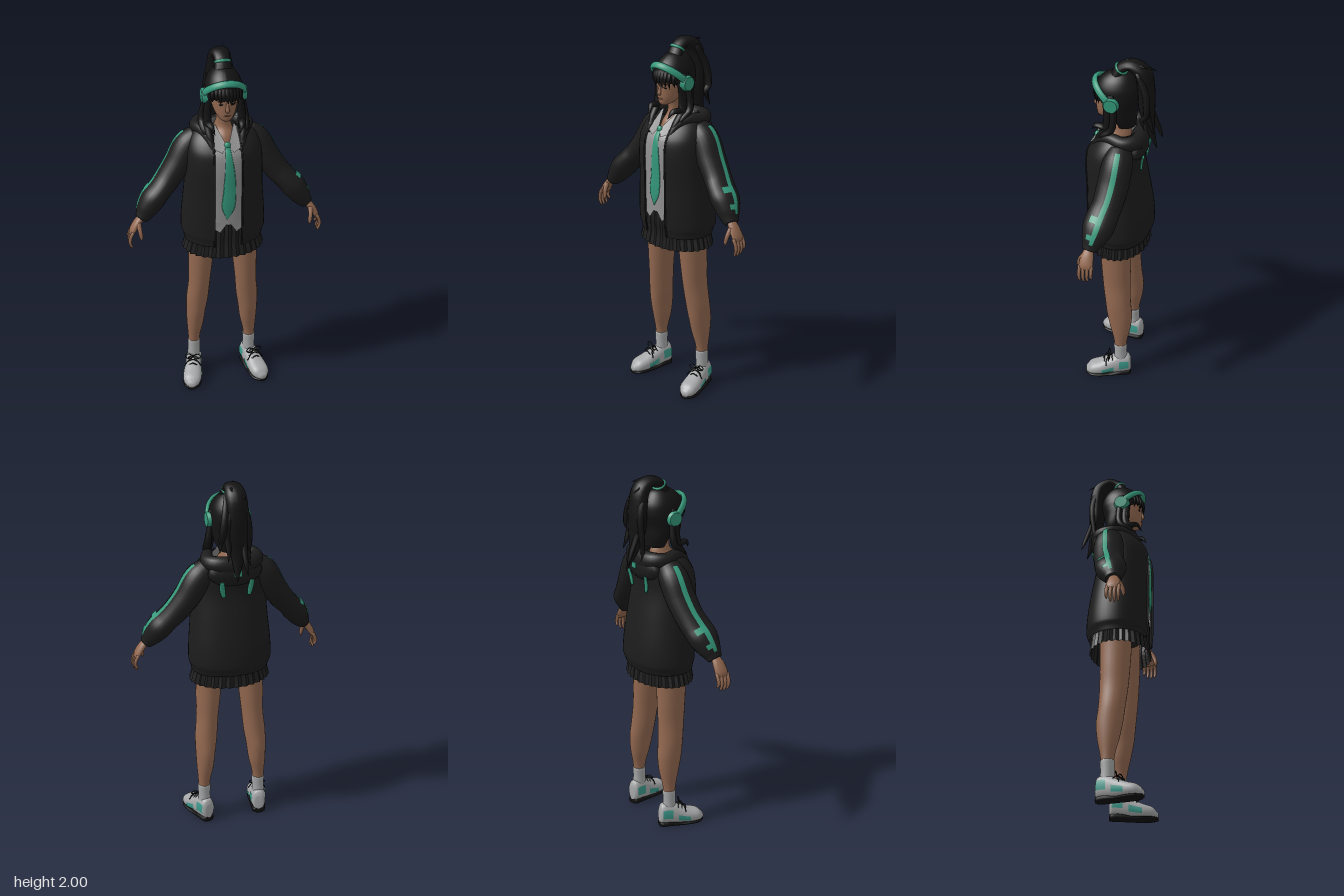
import * as THREE from 'three';

const X = new THREE.Vector3(1, 0, 0), Y = new THREE.Vector3(0, 1, 0), Z = new THREE.Vector3(0, 0, 1);
const DOWN = new THREE.Vector3(0, -1, 0);

const mat = (name, color) => new THREE.MeshStandardMaterial({ name, color, side: THREE.DoubleSide });
const bend = (v, p) => Math.sign(v) * Math.abs(v) ** p;

// Skin over rings [x, y, z, radiusA, radiusB, frontOpeningHalfWidth] smoothed along a curve.
// arc and range cut out a patch of the surface, grow lifts it, axis keeps all rings parallel, pow < 1 squares the rings.
function sweep(pts, o = {}) {
  const { sides = 14, steps = 24, ref = X, axis, arc, range = [0, 1], grow = 0, floor = -9, pleat = 0, pow = 1 } = o;
  const path = new THREE.CatmullRomCurve3(pts.map(p => new THREE.Vector3(p[0], p[1], p[2])));
  const size = new THREE.CatmullRomCurve3(
    pts.map(p => new THREE.Vector3(p[3], p[4] ?? p[3], p[5] ?? 0)), false, 'catmullrom', 0.5);
  const closed = !arc && !pts.some(p => p[5]);
  const n = closed ? sides : sides + 1, pos = [], idx = [];
  for (let i = 0; i <= steps; i++) {
    const u = range[0] + (range[1] - range[0]) * i / steps;
    const c = path.getPoint(u), r = size.getPoint(u), t = axis ?? path.getTangent(u);
    const A = ref.clone().addScaledVector(t, -ref.dot(t)).normalize();
    const B = new THREE.Vector3().crossVectors(t, A);
    const a = Math.max(r.x, 0.0008) + grow, b = Math.max(r.y, 0.0008) + grow;
    const gap = Math.asin(Math.min(1, Math.max(0, r.z) / a) ** (1 / pow));
    const [start, len] = arc ?? [-Math.PI / 2 + gap, 2 * Math.PI - 2 * gap];
    for (let j = 0; j < n; j++) {
      const q = start + len * j / sides, k = 1 + pleat * (j % 2 ? 1 : -1);
      const p = c.clone().addScaledVector(A, bend(Math.cos(q), pow) * a * k).addScaledVector(B, bend(Math.sin(q), pow) * b * k);
      pos.push(p.x, Math.max(p.y, floor), p.z);
    }
  }
  for (let i = 0; i < steps; i++) for (let j = 0; j < sides; j++) {
    const a = i * n + j, b = i * n + (j + 1) % n, d = a + n, c = b + n;
    idx.push(a, b, d, b, c, d);
  }
  if (closed) for (const i of [0, steps]) {
    const m = pos.length / 3, c = path.getPoint(range[i ? 1 : 0]);
    pos.push(c.x, Math.max(c.y, floor), c.z);
    for (let j = 0; j < n; j++) {
      const a = i * n + j, b = i * n + (j + 1) % n;
      i ? idx.push(m, a, b) : idx.push(m, b, a);
    }
  }
  const g = new THREE.BufferGeometry();
  g.setAttribute('position', new THREE.Float32BufferAttribute(pos, 3));
  g.setIndex(idx);
  g.computeVertexNormals();
  return g;
}

// Flat convex plate from its corners
function plate(...corners) {
  const g = new THREE.BufferGeometry().setFromPoints(corners.map(c => new THREE.Vector3(...c)));
  const idx = [];
  for (let i = 1; i < corners.length - 1; i++) idx.push(0, i, i + 1);
  g.setIndex(idx);
  g.computeVertexNormals();
  return g;
}

const blob = (x, y, z, a, b, c) => new THREE.SphereGeometry(1, 18, 12).scale(a, b, c).translate(x, y, z);

export function createModel() {
  const model = new THREE.Group();
  model.name = 'figure';
  const skin = mat('skin', 0x926850), lip = mat('lip', 0x7c4c3e), hair = mat('hair', 0x131314);
  const cloth = mat('jacketCloth', 0x1c1c1c), pleats = mat('skirtCloth', 0x1e1e1f), shirt = mat('shirtGrey', 0x919192);
  const teal = mat('teal', 0x34977a), shoeTeal = mat('shoeTeal', 0x3c998b);
  const white = mat('shoeGrey', 0xa6a7a8), black = mat('black', 0x101010);
  const add = (name, geo, m, parent = model) => {
    const mesh = new THREE.Mesh(geo, m);
    mesh.name = name;
    parent.add(mesh);
    return mesh;
  };

  // Head and neck
  add('neck', sweep([[0, 1.5, .055, .07, .08], [0, 1.56, .04, .06, .075], [0, 1.6, .03, .045, .055],
    [0, 1.64, .037, .037, .043], [0, 1.71, .05, .04, .045]], { axis: Y, sides: 20 }), skin);
  add('head', sweep([[0, 1.66, .118, .018, .02], [0, 1.672, .102, .036, .046], [0, 1.7, .085, .054, .067],
    [0, 1.74, .065, .067, .087], [0, 1.78, .055, .073, .097], [0, 1.83, .05, .075, .098], [0, 1.87, .045, .06, .08],
    [0, 1.89, .04, .02, .03]], { axis: Y, sides: 24, steps: 30 }), skin);
  add('nose', sweep([[0, 1.775, .148, .005], [0, 1.745, .154, .008], [0, 1.728, .157, .012, .01],
    [0, 1.718, .15, .006]], { steps: 10, sides: 10 }), skin);
  add('mouth', blob(0, 1.697, .149, .016, .005, .005), lip);
  for (const s of [-1, 1]) {
    add('eye', blob(s * .03, 1.76, .144, .013, .005, .004), black);
    add('eyebrow', blob(s * .031, 1.778, .146, .018, .003, .004), hair);
  }

  // Hair
  add('hairCap', sweep([[0, 1.62, .0, .06, .055, .055], [0, 1.67, .01, .085, .07, .08], [0, 1.73, .028, .097, .088, .084],
    [0, 1.775, .037, .101, .11, .078], [0, 1.805, .04, .101, .119, .001], [0, 1.85, .04, .093, .114, 0],
    [0, 1.89, .037, .072, .09, 0], [0, 1.92, .03, .042, .055, 0], [0, 1.935, .03, .003, .003, 0]],
    { axis: Y, sides: 32, steps: 36 }), hair);
  for (let i = -4; i <= 4; i++) {
    const x = i * .017, z = .155 - x * x * 8;
    add('fringeLock', sweep([[x * .8, 1.87, z - .02, .01, .006], [x, 1.82, z + .005, .014, .007],
      [x * 1.06, 1.792, z + .007, .01, .006], [x * 1.1 + .004, 1.768 - (i % 2) * .012, z + .003, .001]],
      { sides: 8, steps: 10 }), hair);
  }
  for (const s of [-1, 1]) for (const [dx, dz, y] of [[0, 0, 1.53], [.022, -.03, 1.56], [-.004, .008, 1.6]])
    add('sideLock', sweep([[s * (.08 + dx * .5), 1.83, .085 + dz, .012, .02], [s * (.088 + dx * .6), 1.74, .072 + dz, .016, .018],
      [s * (.093 + dx), 1.64, .078 + dz, .021, .018], [s * (.086 + dx), y + .04, .128 + dz, .017, .012],
      [s * (.07 + dx), y, .155 + dz, .001]], { sides: 9, steps: 18 }), hair);
  add('ponytail', sweep([[0, 1.9, .045, .05, .035], [0, 1.95, .018, .042, .029], [0, 1.972, -.03, .048, .028],
    [0, 1.935, -.088, .057, .043], [0, 1.84, -.108, .062, .044], [0, 1.74, -.112, .062, .043], [0, 1.64, -.128, .043, .025],
    [.01, 1.56, -.15, .02, .013], [.015, 1.5, -.172, .001]], { steps: 36, sides: 16 }), hair);
  for (const [x, y, z] of [[-.06, 1.57, -.12], [.055, 1.61, -.15], [-.03, 1.54, -.18], [.085, 1.65, -.11]])
    add('ponytailStrand', sweep([[x * .5, 1.95, -.07, .015], [x * .8, 1.84, -.12, .02], [x, 1.73, -.125, .02, .015],
      [x, y + .05, z + .005, .012], [x * 1.15, y, z - .012, .001]], { sides: 8, steps: 18 }), hair);
  for (const [x, y, z] of [[-.035, 1.93, -.155], [-.012, 2, -.02], [.03, 1.975, -.125]])
    add('hairWisp', sweep([[x * .3, 1.955, -.01, .012], [x * .7, y * .4 + 1.188, z * .55, .01], [x, y, z, .001]],
      { sides: 6, steps: 10 }), hair);
  const hairTie = add('hairTie', new THREE.TorusGeometry(.031, .008, 10, 24).scale(1.15, 1, 1), teal);
  hairTie.position.set(0, 1.943, .022);
  hairTie.rotation.x = .95;

  // Headphones
  const arch = [];
  for (let i = 0; i <= 10; i++) {
    const q = Math.PI * i / 10;
    arch.push([Math.cos(q) * .107, 1.785 + Math.sin(q) * .092, .055 + Math.sin(q) * .104, .019, .011]);
  }
  add('headband', sweep(arch, { ref: new THREE.Vector3(0, .75, -.66), steps: 40, sides: 12 }), teal);
  for (const s of [-1, 1]) {
    add('earCup', new THREE.CylinderGeometry(.036, .046, .03, 24).rotateZ(-s * Math.PI / 2).translate(s * .104, 1.78, .053), teal);
    add('earCushion', new THREE.CylinderGeometry(.04, .04, .02, 24).rotateZ(Math.PI / 2).translate(s * .084, 1.78, .053), black);
  }

  // Jacket body, open at the front
  const pow = .95;
  const body = [[0, .94, .025, .214, .164, .075], [0, .965, .022, .219, .17, .075], [0, .995, .02, .229, .177, .075],
    [0, 1.1, .025, .226, .176, .075], [0, 1.25, .037, .213, .165, .075], [0, 1.4, .052, .206, .153, .075],
    [0, 1.48, .045, .2, .149, .074], [0, 1.53, .032, .185, .134, .073], [0, 1.57, .02, .158, .111, .07],
    [0, 1.605, .01, .11, .083, .064]];
  add('jacketBody', sweep(body, { axis: Y, sides: 44, steps: 40, pow }), cloth);
  for (const s of [-1, 1])
    add('jacketEdge', sweep(body.map(([, y, z, a, b, w]) =>
      [s * w, y, z + b * (1 - (w / a) ** (2 / pow)) ** (pow / 2), .005]), { steps: 30, sides: 8 }), cloth);

  // Hood lying round the neck and down the back
  const side = [[.072, 1.5, .163, .01], [.09, 1.56, .118, .02], [.115, 1.588, .055, .029], [.134, 1.578, -.02, .036],
    [.1, 1.572, -.075, .045, .04]];
  add('hoodCollar', sweep([...side, [0, 1.56, -.09, .054, .042],
    ...side.slice().reverse().map(([x, ...r]) => [-x, ...r])], { ref: Y, steps: 48, sides: 16 }), cloth);
  add('hoodPouch', blob(0, 1.525, -.078, .15, .08, .053), cloth);
  add('hoodPatch', new THREE.BoxGeometry(.04, .03, .009).translate(0, 1.53, -.131), teal);
  for (const s of [-1, 1])
    add('backTab', sweep([[s * .084, 1.482, -.116, .012, .006], [s * .078, 1.44, -.106, .016, .007],
      [s * .07, 1.395, -.102, .011, .006]], { steps: 8, sides: 8 }), teal);

  // Shirt, collar and tie
  const shirtRings = body.filter(p => p[1] > 1.05 && p[1] < 1.55).map(([x, y, z, a, b]) =>
    [x, y === 1.1 ? 1.075 : y, z, a * .93, b * (y > 1.5 ? .9 : .94)]);
  add('shirt', sweep(shirtRings, { axis: Y, sides: 30, arc: [-Math.PI, Math.PI] }), shirt);
  for (const s of [-1, 1]) {
    add('shirtPoint', plate([0, 1.095, .192], [s * .08, 1.09, .184], [s * .077, 1.05, .182], [s * .045, 1.03, .189]), shirt);
    add('shirtCollar', plate([s * .05, 1.62, .07], [s * .006, 1.535, .157], [s * .03, 1.5, .182], [s * .078, 1.52, .162],
      [s * .08, 1.575, .112]), shirt);
  }
  add('tieKnot', blob(0, 1.53, .153, .018, .02, .014), teal);
  add('tie', sweep([[0, 1.525, .158, .013, .006], [.002, 1.48, .183, .018, .006], [.006, 1.4, .194, .026, .006],
    [.006, 1.28, .194, .034, .006], [-.002, 1.18, .195, .034, .006], [-.006, 1.112, .194, .002, .003]], { sides: 12 }), teal);

  // Pleated skirt
  const skirt = sweep([[0, 1.12, .03, .19, .145], [0, 1.02, .027, .203, .156], [0, .95, .026, .201, .153],
    [0, .87, .027, .22, .163]], { axis: DOWN, sides: 60, steps: 10, pleat: .03, arc: [0, Math.PI * 2] }).toNonIndexed();
  skirt.computeVertexNormals();
  add('skirt', skirt, pleats);
  add('skirtLining', blob(0, 1.0, .02, .17, .07, .12), pleats);

  for (const s of [-1, 1]) {
    // Sleeve with a stripe along its outer side
    const arm = [[.125, 1.53, 0, .064, .063], [.18, 1.481, 0, .08, .076], [.24, 1.383, .01, .084, .071], [.3, 1.3, .025, .081, .066],
      [.345, 1.25, .042, .084, .062], [.385, 1.205, .055, .083, .066], [.42, 1.155, .07, .064, .056], [.437, 1.13, .077, .05, .046],
      [.455, 1.108, .082, .04, .035]].map(([x, ...r]) => [s * x, ...r]);
    add('sleeve', sweep(arm, { ref: Z, sides: 24, steps: 40 }), cloth);
    const out = -s * (Math.PI / 2 + .1);
    add('sleeveStripe', sweep(arm, { ref: Z, sides: 4, steps: 30, grow: .004, range: [.07, .86], arc: [out - .17, .34] }), teal);
    for (const [a, b, w] of [[.52, .59, .75], [.7, .76, .65]])
      add('sleevePatch', sweep(arm, { ref: Z, sides: 5, steps: 6, grow: .005, range: [a, b], arc: [out - .1, w] }), teal);

    // Hand
    add('palm', sweep([[s * .45, 1.118, .083, .024, .019], [s * .478, 1.085, .088, .034, .02], [s * .503, 1.045, .09, .038, .017],
      [s * .51, 1.025, .09, .032, .011]], { ref: Z, steps: 12 }), skin);
    for (let i = 0; i < 4; i++) {
      const z = .06 + i * .021, d = i === 0 ? .02 : i === 2 ? -.005 : 0;
      add('finger', sweep([[s * .504, 1.045, z, .01], [s * .52, 1.01, z, .0095], [s * .522, .98 + d / 2, z, .0085],
        [s * .512, .955 + d, z - .002, .006], [s * .508, .95 + d, z - .002, .001]], { ref: Z, sides: 8, steps: 12 }), skin);
    }
    add('thumb', sweep([[s * .472, 1.092, .108, .014], [s * .468, 1.055, .13, .012], [s * .463, 1.02, .138, .01],
      [s * .462, .998, .138, .002]], { ref: Z, sides: 9, steps: 12 }), skin);

    // Leg and sock
    add('leg', sweep([[.115, 1, .02, .08, .09], [.12, .87, .025, .072, .086], [.126, .75, .022, .066, .082],
      [.132, .64, .018, .06, .077], [.143, .52, .008, .061, .072], [.15, .43, -.002, .054, .071], [.154, .34, -.008, .047, .058],
      [.161, .25, -.01, .034, .038], [.162, .18, -.01, .031, .032]].map(([x, ...r]) => [s * x, ...r]),
      { axis: DOWN, sides: 24, steps: 36 }), skin);
    add('sock', sweep([[s * .162, .1, -.012, .035, .038], [s * .162, .16, -.01, .034, .036], [s * .161, .215, -.01, .036, .038],
      [s * .161, .222, -.01, .033, .034]], { axis: Y, sides: 20, steps: 10 }), white);

    // Shoe, turned slightly outward
    const shoe = new THREE.Group();
    shoe.name = 'shoe';
    shoe.position.x = s * .166;
    shoe.rotation.y = s * .24;
    model.add(shoe);
    const last = [[0, .067, -.07, .022, .042], [0, .075, -.058, .037, .06], [0, .075, -.01, .043, .067], [0, .06, .05, .047, .054],
      [0, .046, .11, .053, .043], [0, .038, .16, .046, .033], [0, .026, .19, .018, .014]];
    const cut = { axis: Z, floor: .01, pow: .88 };
    add('shoeUpper', sweep(last, { ...cut, sides: 28, steps: 30 }), white, shoe);
    add('sole', sweep(last.map(([x, , z, a], i) => [x, i < 3 ? .014 : .007, z, a - .001, i < 3 ? .015 : .008]),
      { axis: Z, floor: 0, sides: 16, steps: 30, pow: .6 }), black, shoe);
    for (const k of [0, 1]) for (const [range, lo, hi] of [[[.45, .64], -.42, .1], [[.17, .36], -.25, .45]])
      add('shoePatch', sweep(last, { ...cut, sides: 8, steps: 8, grow: .003, range,
        arc: [k ? Math.PI - hi : lo, hi - lo] }), shoeTeal, shoe);
    for (let i = 0; i < 3; i++) {
      const z = .035 + i * .022, y = .131 - i * .011;
      add('lace', sweep([[-.03, y - .02, z, .003], [0, y, z + .006, .003], [.03, y - .02, z, .003]],
        { ref: Y, sides: 6, steps: 8 }), black, shoe);
    }
    for (const k of [-1, 1]) {
      add('laceLoop', sweep([[0, .128, .045, .003], [k * .025, .148, .05, .003], [k * .045, .137, .055, .003],
        [k * .03, .124, .06, .003], [0, .128, .05, .003]], { ref: Z, sides: 6, steps: 16 }), black, shoe);
      add('laceEnd', sweep([[0, .128, .05, .003], [k * .025, .118, .07, .003], [k * .048, .085, .075, .003]],
        { ref: Z, sides: 6, steps: 8 }), black, shoe);
    }
  }
  return model;
}
